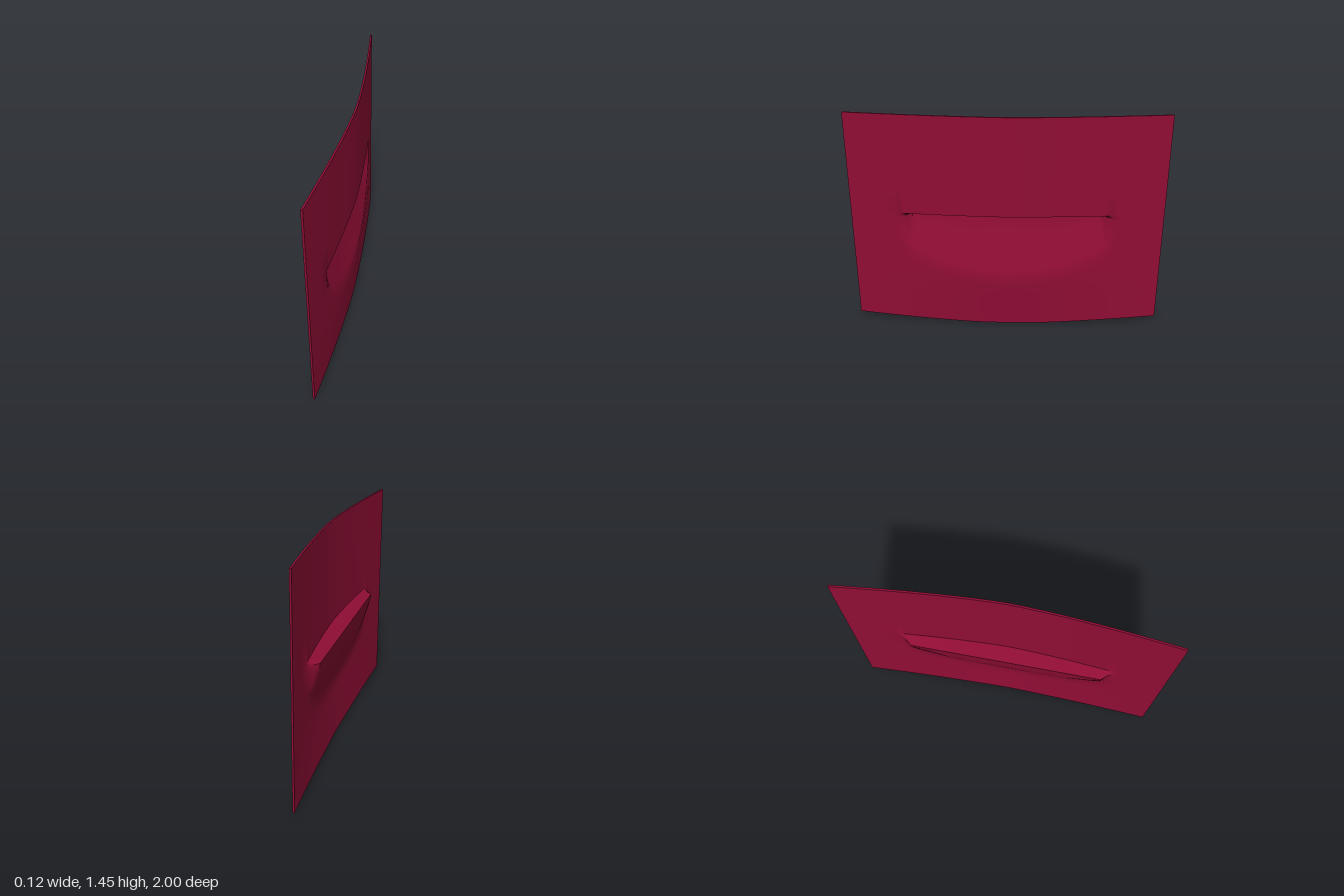
import * as THREE from 'three';
import { toCreasedNormals } from 'three/addons/utils/BufferGeometryUtils.js';

// Piecewise-linear lookup through [position, value] pairs
function along(table, p) {
  for (let i = 1; i < table.length; i++) {
    const [p0, v0] = table[i - 1], [p1, v1] = table[i];
    if (p <= p1) return v0 + (v1 - v0) * Math.max(0, (p - p0) / (p1 - p0));
  }
  return table[table.length - 1][1];
}

const THICK = 0.012, TOP = 1.452, LIP = 0.8, SHELF = 0.777;
const crown = [[0, 0.037], [0.36, 0.056], [0.8, 0.05], [TOP, 0.05]];
// Lower outline of the scoop and how far in its back edge lies, by distance from the middle
const scoopFoot = [[0, 0.37], [0.2, 0.385], [0.4, 0.435], [0.55, 0.51], [0.65, 0.58], [0.7, 0.62], [1, 0.62]];
const scoopDepth = [[0, 1], [0.61, 1], [0.65, 0.4], [0.7, 0], [1, 0]];

// Outer face of the bowed panel
function panelX(y, z) {
  const centre = along(crown, y), edge = -0.013 - 0.019 * y / TOP;
  return centre + (edge - centre) * Math.pow(Math.abs(z), 1.5);
}

// Closed cross-section at one z: down the outer face, then back up the inner face
function section(z) {
  const d = Math.abs(z), outer = [], inner = [];
  const add = (x, y, lift = 0) => {
    outer.push([x, y, z]);
    inner.push([x - THICK, y + lift, z]);
  };
  // upper panel
  for (let i = 0; i <= 4; i++) {
    const y = TOP + (LIP - TOP) * i / 4;
    add(panelX(y, z), y, i === 4 ? 0.008 : 0);
  }
  // shelf under the lip, then the scoop sweeping back out
  const foot = along(scoopFoot, d), depth = along(scoopDepth, d);
  for (let i = 0; i <= 10; i++) {
    const t = i / 10, y = SHELF + (foot - SHELF) * t;
    const skin = panelX(y, z);
    const inset = depth * (panelX(SHELF, z) + 0.049) * (1 - Math.pow(t, 1.2));
    add(skin - inset, y, i === 0 ? 0.006 : 0);
  }
  // lower panel
  const bottom = 0.042 * Math.pow(Math.max(0, (d - 0.2) / 0.8), 1.2);
  for (let i = 1; i <= 5; i++) {
    const y = foot + (bottom - foot) * i / 5;
    add(panelX(y, z), y);
  }
  return outer.concat(inner.reverse());
}

function shellGeometry() {
  const half = [0.1, 0.2, 0.3, 0.4, 0.5, 0.56, 0.61, 0.63, 0.65, 0.675, 0.7, 0.8, 0.9, 1];
  const stations = [...half.map(z => -z).reverse(), 0, ...half];
  const rings = stations.map(section);
  const n = rings[0].length, last = rings.length - 1;
  const index = [];
  for (let i = 0; i < last; i++) {
    for (let j = 0; j < n; j++) {
      const k = (j + 1) % n;
      const a = i * n + j, b = i * n + k, c = a + n, e = b + n;
      index.push(a, c, b, b, c, e);
    }
  }
  // end edges
  for (let j = 0; j < n / 2 - 1; j++) {
    const a = j, b = j + 1, c = n - 1 - j, e = n - 2 - j, o = last * n;
    index.push(a, b, c, b, e, c);
    index.push(o + a, o + c, o + b, o + b, o + c, o + e);
  }
  const geometry = new THREE.BufferGeometry();
  geometry.setAttribute('position', new THREE.Float32BufferAttribute(rings.flat(2), 3));
  geometry.setIndex(index);
  return toCreasedNormals(geometry, 0.7);
}

export function createModel() {
  const model = new THREE.Group();
  model.name = 'scoopedPanel';
  const crimson = new THREE.MeshStandardMaterial({ color: 0x900d35 });
  crimson.name = 'crimson';
  const panel = new THREE.Mesh(shellGeometry(), crimson);
  panel.name = 'panelWithScoop';
  model.add(panel);
  return model;
}
